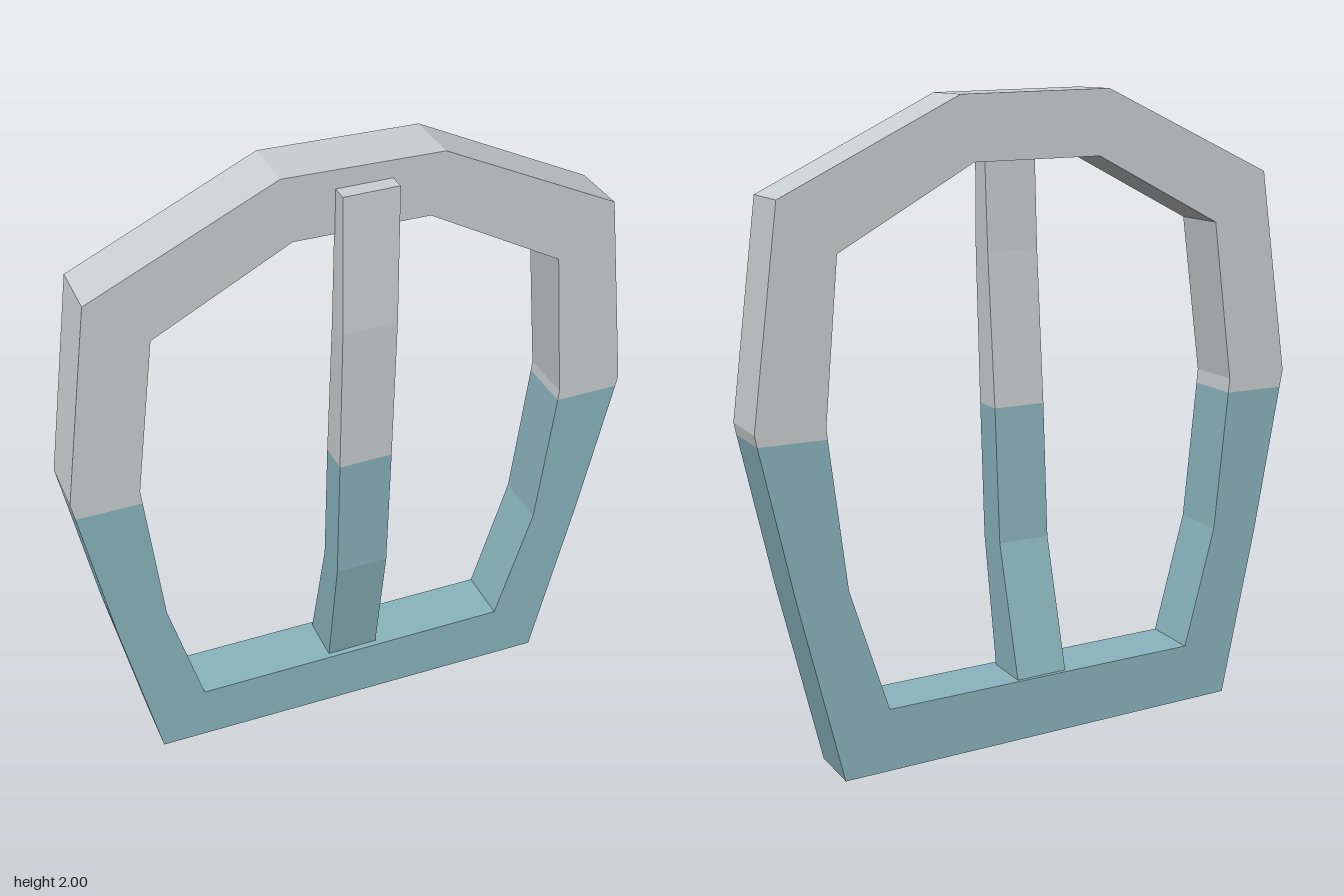
import * as THREE from 'three';

const SPLIT = 1.045; // height where the two colours meet

// Joins four-cornered cross-sections (counterclockwise, seen from the far end)
function loft(sections, capStart, capEnd) {
  const pos = [];
  const quad = (a, b, c, d) => pos.push(...a, ...b, ...c, ...a, ...c, ...d);
  for (let k = 0; k < sections.length - 1; k++) {
    const s = sections[k], t = sections[k + 1];
    for (let i = 0; i < 4; i++) {
      const j = (i + 1) % 4;
      quad(s[i], s[j], t[j], t[i]);
    }
  }
  if (capStart) quad(...[...sections[0]].reverse());
  if (capEnd) quad(...sections[sections.length - 1]);
  const geo = new THREE.BufferGeometry();
  geo.setAttribute('position', new THREE.Float32BufferAttribute(pos, 3));
  geo.computeVertexNormals();
  return geo;
}

// Frame section from outer and inner points; the frame is slightly turned in depth
function frameSection([ox, oy, ix, iy]) {
  const back = (x) => -0.12 + 0.011 * x;
  const front = (x) => 0.06 + 0.011 * x;
  return [[ox, oy, back(ox)], [ix, iy, back(ix)], [ix, iy, front(ix)], [ox, oy, front(ox)]];
}

// Prong section: height, centre x, back z, front z
function prongSection([y, cx, back, front]) {
  const w = 0.084;
  return [[cx + w, y, front], [cx + w, y, back], [cx - w, y, back], [cx - w, y, front]];
}

export function createModel() {
  const group = new THREE.Group();
  group.name = 'buckle';
  const teal = new THREE.MeshStandardMaterial({ color: 0x8ab5bd });
  teal.name = 'muted teal';
  const grey = new THREE.MeshStandardMaterial({ color: 0xcbd0d0 });
  grey.name = 'light grey';
  const add = (name, geo, mat) => {
    const mesh = new THREE.Mesh(geo, mat);
    mesh.name = name;
    group.add(mesh);
  };

  // Frame ring, counterclockwise: outer x, outer y, inner x, inner y
  const leftSplit = [-0.88, SPLIT, -0.681, SPLIT];
  const rightSplit = [0.878, SPLIT, 0.672, SPLIT];
  const lower = [
    leftSplit,
    [-0.80, 0.58, -0.64, 0.60],
    [-0.69, 0.03, -0.54, 0.215],
    [0.645, 0.0, 0.50, 0.20],
    [0.78, 0.58, 0.62, 0.59],
    rightSplit,
  ];
  const upper = [
    rightSplit,
    [0.885, 1.08, 0.675, 1.08],
    [0.80, 1.72, 0.63, 1.565],
    [0.25, 1.99, 0.21, 1.80],
    [-0.23, 2.0, -0.20, 1.805],
    [-0.79, 1.74, -0.615, 1.59],
    [-0.89, 1.10, -0.685, 1.09],
    leftSplit,
  ];
  add('lowerFrame', loft(lower.map(frameSection)), teal);
  add('upperFrame', loft(upper.map(frameSection)), grey);

  // Prong rising from the bottom bar and resting on the front of the top bar
  const middle = [SPLIT, -0.007, 0.02, 0.12];
  const prongLow = [[0.2, -0.018, -0.11, 0.04], [0.62, -0.012, 0.0, 0.105], middle];
  const prongHigh = [middle, [1.52, 0.0, 0.05, 0.13], [1.94, 0.01, 0.055, 0.11]];
  add('lowerProng', loft(prongLow.map(prongSection), true, false), teal);
  add('upperProng', loft(prongHigh.map(prongSection), false, true), grey);

  return group;
}
